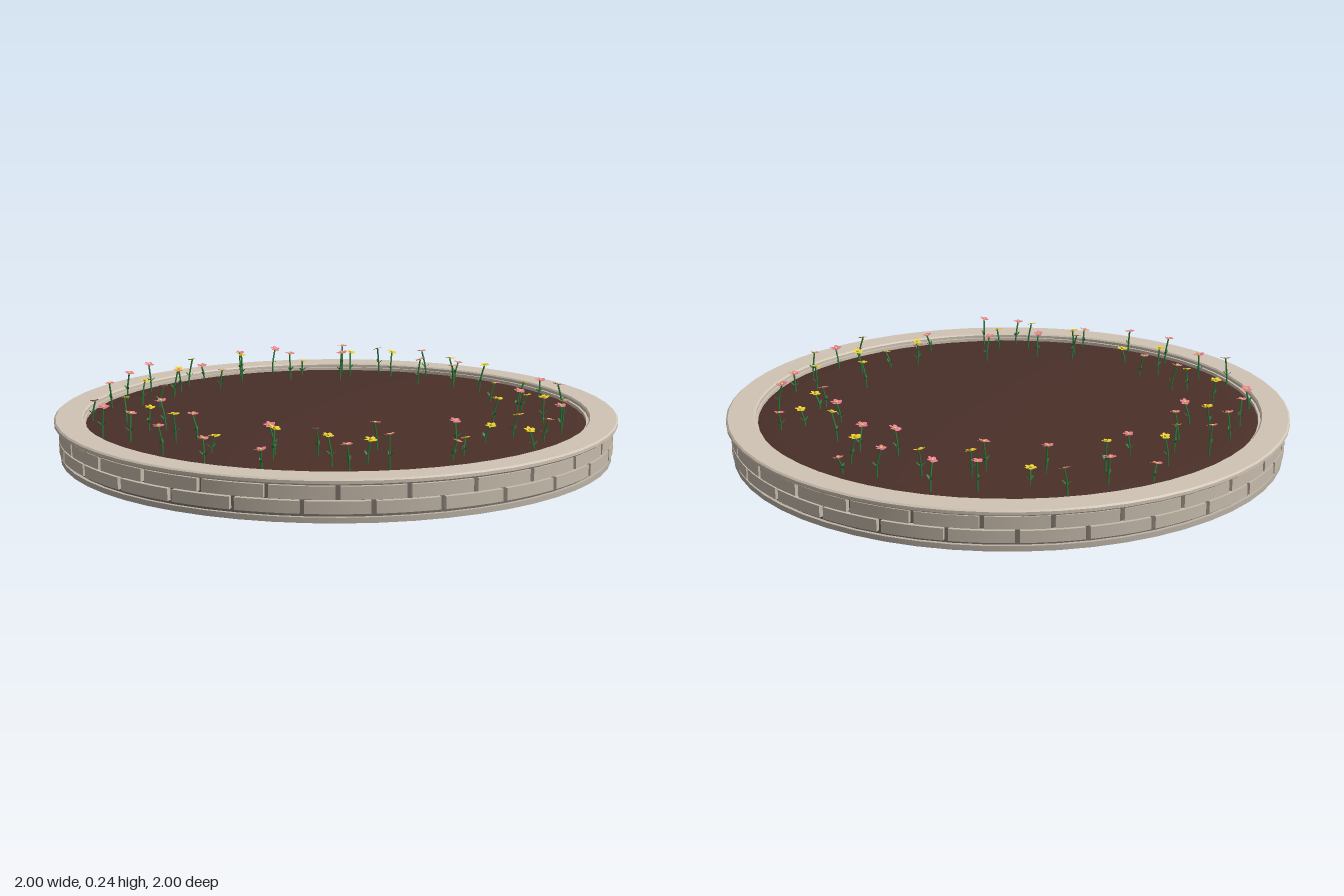
import * as THREE from 'three';
import { mergeGeometries, toCreasedNormals } from 'three/addons/utils/BufferGeometryUtils.js';

const mat = (name, color, side = THREE.FrontSide) => {
  const m = new THREE.MeshStandardMaterial({ color, side });
  m.name = name;
  return m;
};
const mats = {
  cap: mat('cap stone', 0xd0c4b4),
  brick: mat('brick stone', 0xc6bbac),
  base: mat('base stone', 0xbcb3a6),
  mortar: mat('mortar', 0x7a736a),
  soil: mat('soil', 0x4a3029),
  green: mat('stem green', 0x2f7a3c, THREE.DoubleSide),
  pink: mat('pink petals', 0xf08098, THREE.DoubleSide),
  yellow: mat('yellow petals', 0xf2dc2e, THREE.DoubleSide),
  centre: mat('flower centre', 0xd89a2a),
};

// Flower heads seen from above as [x, z] in hundredths of a unit
const PINK = [
  [-18, -82], [-2, -81], [15, -84], [-45, -69], [-57, -58], [-69, -46], [-40, -52], [-19, -59],
  [13, -66], [39, -71], [51, -63], [31, -56], [63, -48], [75, -40], [53, -32], [61, -21],
  [-80, -30], [-51, -38], [-65, -5], [-86, -4], [-80, 6], [-61, 14], [-79, 29], [-71, 47],
  [-58, 62], [-47, 45], [-35, 55], [-35, 76], [-21, 78], [-15, 57], [3, 79], [43, 71],
  [54, 62], [66, 47], [75, 30], [61, 9], [82, 8], [13, 61], [61, 26],
];
const YELLOW = [
  [-26, -72], [-36, -61], [-55, -47], [-6, -70], [21, -71], [37, -60], [52, -53], [67, -33],
  [68, -9], [74, 9], [64, 26], [58, 46], [41, 43], [37, 62], [25, 64], [29, 81],
  [9, 74], [-24, 71], [-37, 67], [-48, 51], [-62, 35], [-69, 17], [-69, -5], [-72, -22],
];

let seed = 7;
const rand = (a, b) => {
  seed = (seed * 16807) % 2147483647;
  return a + (b - a) * (seed / 2147483647);
};

function add(parent, name, geometry, material) {
  const mesh = new THREE.Mesh(geometry, material);
  mesh.name = name;
  parent.add(mesh);
  return mesh;
}

function turned(points, crease = 0.6) {
  const g = new THREE.LatheGeometry(points.map(([r, y]) => new THREE.Vector2(r, y)), 56);
  return toCreasedNormals(g, crease);
}

// A box wrapped around the wall
function curvedBrick(angle, span, y, height) {
  const inner = 0.955, outer = 0.984;
  const g = new THREE.BoxGeometry(span, height, outer - inner, 4, 1, 1);
  const p = g.attributes.position;
  for (let i = 0; i < p.count; i++) {
    const a = angle + p.getX(i);
    const r = (inner + outer) / 2 + p.getZ(i);
    p.setXYZ(i, r * Math.sin(a), y + p.getY(i), r * Math.cos(a));
  }
  g.computeVertexNormals();
  return g;
}

function brickCourse(joint, y, height) {
  const count = 28, step = (2 * Math.PI) / count, list = [];
  for (let i = 0; i < count; i++) {
    list.push(curvedBrick(joint + (i + 0.5) * step, step - 0.016, y, height));
  }
  return mergeGeometries(list);
}

// Five thin, slightly cupped and twisted petals round the middle
function petalRing() {
  const list = [];
  for (let i = 0; i < 5; i++) {
    const g = new THREE.CircleGeometry(0.0085, 14);
    g.rotateX(-Math.PI / 2 + 0.12).scale(1.1, 1, 0.9).translate(0.0115, 0, 0);
    list.push(g.rotateZ(0.15).rotateY((i * 2 * Math.PI) / 5));
  }
  return mergeGeometries(list);
}

// Thin oval leaf pointing up and outward
function leaf(turn) {
  const g = new THREE.CircleGeometry(0.011, 12);
  return g.rotateX(-Math.PI / 2).scale(1, 1, 0.42).translate(0.011, 0, 0).rotateZ(0.7).rotateY(turn);
}

export function createModel() {
  const bed = new THREE.Group();
  bed.name = 'roundFlowerBed';

  // Base slab with closed underside, and the mortar core above it
  add(bed, 'baseSlab', turned([[0, 0], [0.98, 0], [0.98, 0.018], [0.96, 0.018]]), mats.base);
  add(bed, 'mortarCore', turned([[0.968, 0.016], [0.968, 0.126]]), mats.mortar);

  // Two staggered courses of brick
  add(bed, 'lowerBricks', brickCourse(0.095, 0.05, 0.04), mats.brick);
  add(bed, 'upperBricks', brickCourse(-0.017, 0.096, 0.042), mats.brick);

  // Coping ring with a small inner ledge
  add(bed, 'copingRing', turned([
    [0.89, 0.122], [0.992, 0.122], [1, 0.128], [1, 0.138], [0.994, 0.143],
    [0.903, 0.143], [0.898, 0.138], [0.898, 0.128], [0.89, 0.128], [0.89, 0.1],
  ]), mats.cap);

  // Soil, falling away gently at its edge
  add(bed, 'soil', turned([
    [0.892, 0.116], [0.87, 0.121], [0.8, 0.125], [0.6, 0.129], [0.3, 0.131], [0, 0.132],
  ], 1), mats.soil);

  // Flowers
  const petals = petalRing();
  const middle = new THREE.SphereGeometry(0.005, 14, 10).scale(1, 0.6, 1);
  const leaves = mergeGeometries([leaf(0), leaf(2.6)]);

  function flower(x, z, petalMat, middleMat) {
    const group = new THREE.Group();
    group.name = 'flower';
    const top = rand(0.178, 0.232), base = 0.112;
    const dx = rand(-0.016, 0.016), dz = rand(-0.016, 0.016);
    const curve = new THREE.CatmullRomCurve3([
      new THREE.Vector3(x + dx, base, z + dz),
      new THREE.Vector3(x + dx * 0.8, (base + top) / 2, z + dz * 0.8),
      new THREE.Vector3(x, top, z),
    ]);
    add(group, 'stem', new THREE.TubeGeometry(curve, 6, 0.003, 14), mats.green);
    const foliage = add(group, 'leaves', leaves, mats.green);
    foliage.position.copy(curve.getPoint(0.45));
    foliage.rotation.y = rand(0, 6.28);

    const head = new THREE.Group();
    head.name = 'flowerHead';
    add(head, 'petals', petals, petalMat);
    add(head, 'middle', middle, middleMat).position.y = 0.002;
    head.position.set(x, top + 0.002, z);
    head.rotation.set(rand(-0.25, 0.25), rand(0, 6.28), rand(-0.25, 0.25));
    head.scale.setScalar(rand(0.85, 1.1));
    group.add(head);
    bed.add(group);
  }
  PINK.forEach(([x, z]) => flower(x / 100, z / 100, mats.pink, mats.yellow));
  YELLOW.forEach(([x, z]) => flower(x / 100, z / 100, mats.yellow, mats.centre));

  return bed;
}
